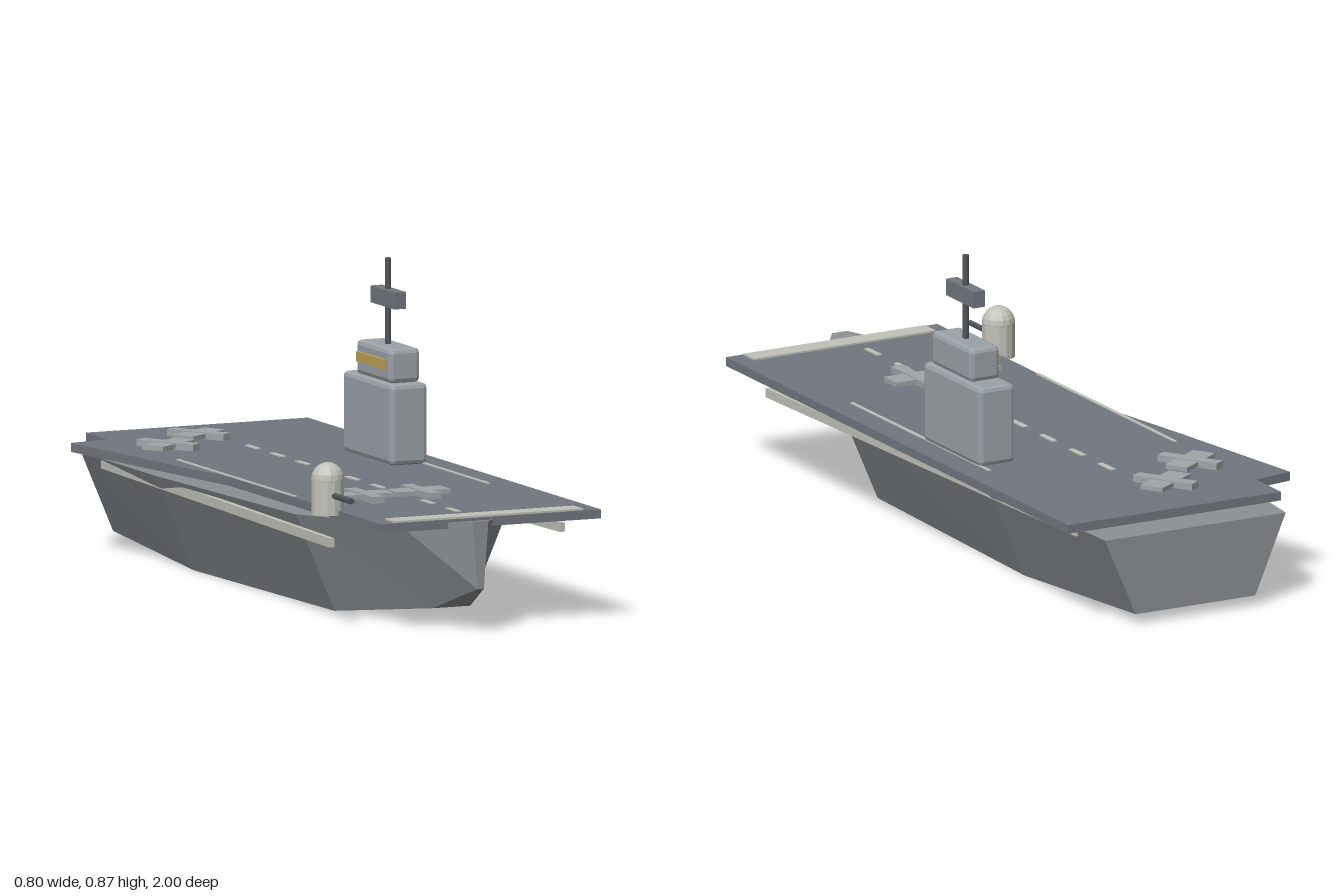
import * as THREE from 'three';
import { RoundedBoxGeometry } from 'three/addons/geometries/RoundedBoxGeometry.js';

const paint = (name, color) => {
  const m = new THREE.MeshStandardMaterial({ color });
  m.name = name;
  return m;
};

export function createModel() {
  const model = new THREE.Group();
  model.name = 'aircraftCarrier';

  const hullGrey = paint('hull grey', 0x8b9094);
  const deckGrey = paint('deck grey', 0x72767f);
  const towerGrey = paint('tower grey', 0x9ba2a8);
  const planeGrey = paint('plane grey', 0xa0a5a9);
  const darkGrey = paint('dark grey', 0x50545c);
  const paleGrey = paint('pale grey', 0xc2c2ba);
  const gold = paint('window gold', 0xc0a258);

  // Faceted mesh with one normal per face
  const add = (name, geometry, material, x = 0, y = 0, z = 0, parent = model) => {
    const g = geometry.index ? geometry.toNonIndexed() : geometry;
    g.computeVertexNormals();
    const mesh = new THREE.Mesh(g, material);
    mesh.name = name;
    mesh.position.set(x, y, z);
    parent.add(mesh);
    return mesh;
  };
  const box = (w, h, d) => new THREE.BoxGeometry(w, h, d);

  // Hull: stations of z, top half width, top y, bottom half width, bottom y
  const stations = [
    [1, 0.024, 0.315, 0.01, 0.126],
    [0.81, 0.163, 0.292, 0.057, 0.05],
    [0.45, 0.308, 0.28, 0.19, 0.003],
    [-0.42, 0.328, 0.272, 0.215, 0.002],
    [-1, 0.287, 0.258, 0.19, 0.033],
  ];
  const points = [], faces = [];
  stations.forEach(([z, tw, ty, bw, by]) =>
    points.push(-tw, ty, z, tw, ty, z, bw, by, z, -bw, by, z));
  for (let s = 0; s < stations.length - 1; s++) {
    for (let i = 0; i < 4; i++) {
      const a = s * 4 + i, a2 = s * 4 + (i + 1) % 4;
      faces.push(a, a2, a2 + 4, a, a2 + 4, a + 4);
    }
  }
  const last = (stations.length - 1) * 4;
  faces.push(0, 3, 2, 0, 2, 1, last, last + 1, last + 2, last, last + 2, last + 3);
  const hull = new THREE.BufferGeometry();
  hull.setAttribute('position', new THREE.Float32BufferAttribute(points, 3));
  hull.setIndex(faces);
  add('hull', hull, hullGrey);

  // Flight deck with the angled overhang on its right side
  const outline = [
    [0.397, 0.937], [0.397, -0.985], [-0.28, -0.985], [-0.28, -0.845],
    [-0.4, -0.825], [-0.325, -0.35], [-0.275, -0.06], [-0.275, 0.937],
  ].map(([x, z]) => new THREE.Vector2(x, -z));
  const deck = new THREE.ExtrudeGeometry(new THREE.Shape(outline), { depth: 0.025, bevelEnabled: false });
  deck.rotateX(-Math.PI / 2);
  add('flightDeck', deck, deckGrey, 0, 0.29, 0);

  // Deck markings
  for (let i = 0; i < 9; i++) {
    add('centreDash', box(0.016, 0.004, 0.072), paleGrey, 0.019, 0.316, -0.534 + i * 0.164);
  }
  for (const x of [-0.27, 0.32]) add('edgeLine', box(0.01, 0.004, 0.775), paleGrey, x, 0.316, -0.022);
  add('bowStripe', box(0.576, 0.006, 0.06), paleGrey, 0.057, 0.317, 0.899);

  // Side rails, splayed outward towards the bow
  for (const side of [-1, 1]) {
    const rail = add('sideRail', box(0.016, 0.026, 1.63), paleGrey, side * 0.32, 0.247, -0.035);
    rail.rotation.y = side * 0.039;
  }

  // Island tower
  const chamferBox = (w, h, d) => new RoundedBoxGeometry(w, h, d, 1, 0.013);
  add('towerBase', chamferBox(0.114, 0.226, 0.32), towerGrey, 0.272, 0.428, -0.209);
  add('bridge', chamferBox(0.094, 0.096, 0.226), towerGrey, 0.272, 0.588, -0.19);
  add('bridgeWindow', box(0.009, 0.028, 0.18), gold, 0.2205, 0.592, -0.19);
  add('mast', new THREE.CylinderGeometry(0.009, 0.009, 0.246, 8), darkGrey, 0.272, 0.753, -0.19);
  add('radar', box(0.036, 0.047, 0.155), deckGrey, 0.272, 0.766, -0.188);

  // Gun turret
  const turret = new THREE.Group();
  turret.name = 'gunTurret';
  turret.position.set(-0.287, 0, 0.615);
  model.add(turret);
  add('turretBase', new THREE.CylinderGeometry(0.046, 0.046, 0.1, 14), paleGrey, 0, 0.352, 0, turret);
  add('turretDome', new THREE.SphereGeometry(0.046, 14, 10), paleGrey, 0, 0.401, 0, turret);
  const barrel = new THREE.CylinderGeometry(0.009, 0.009, 0.13, 6).rotateX(Math.PI / 2);
  add('gunBarrel', barrel, darkGrey, 0, 0.358, 0.092, turret);

  // Parked planes: x, z and heading
  for (const [x, z, turn] of [[-0.114, 0.469, 0], [0.058, 0.469, 0], [-0.196, -0.624, 0.56], [-0.037, -0.767, 0.56]]) {
    const plane = new THREE.Group();
    plane.name = 'parkedPlane';
    plane.position.set(x, 0.315, z);
    plane.rotation.y = turn;
    model.add(plane);
    add('fuselage', box(0.036, 0.019, 0.186), planeGrey, 0, 0.0095, turn ? 0 : 0.014, plane);
    add('wing', box(0.163, 0.013, 0.069), planeGrey, 0, 0.0095, 0, plane);
  }

  return model;
}
